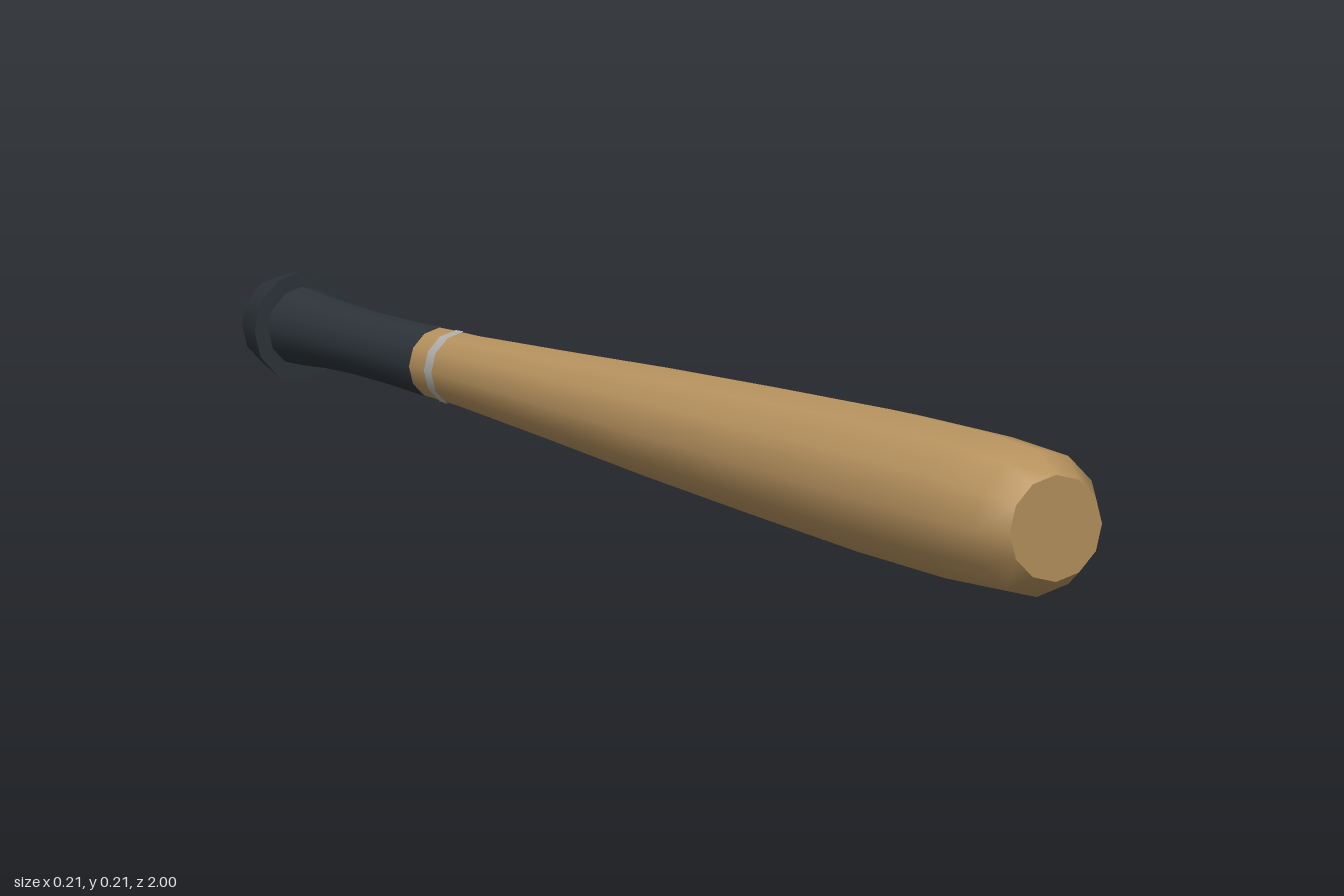
import * as THREE from 'three';

const SIDES = 12;
const AXIS_Y = 0.107;

export function createModel() {
  const wood = new THREE.MeshStandardMaterial({ name: 'wood', color: 0xb8935f });
  const grip = new THREE.MeshStandardMaterial({ name: 'dark grip', color: 0x2d343a });
  const silver = new THREE.MeshStandardMaterial({ name: 'silver band', color: 0xb4b2ae });

  const bat = new THREE.Group();
  bat.name = 'bat';

  // Turned part from [radius, z] pairs running back to front
  function turned(name, profile, material) {
    const points = profile.map(([r, z]) => new THREE.Vector2(r, z));
    const mesh = new THREE.Mesh(new THREE.LatheGeometry(points, SIDES), material);
    mesh.name = name;
    mesh.rotation.x = Math.PI / 2;
    mesh.position.y = AXIS_Y;
    bat.add(mesh);
  }

  // Wooden barrel, tapering towards the grip
  turned('barrel', [
    [0.049, -0.59], [0.051, -0.5], [0.064, -0.25], [0.078, 0], [0.091, 0.28],
    [0.103, 0.57], [0.107, 0.8], [0.102, 0.95], [0.074, 1],
  ], wood);
  turned('barrelEnd', [[0.074, 1], [0, 1]], wood);

  // Thin ring above the grip
  turned('band', [[0.0515, -0.548], [0.0525, -0.527]], silver);

  // Grip with a slight flare into the knob
  turned('grip', [[0.054, -0.945], [0.049, -0.88], [0.046, -0.78], [0.047, -0.68], [0.05, -0.59]], grip);
  turned('gripEnd', [[0.05, -0.59], [0, -0.59]], grip);

  // Knob with flat faces
  turned('knobBack', [[0, -1], [0.062, -1]], grip);
  turned('knobSide', [[0.062, -1], [0.076, -0.945]], grip);
  turned('knobFront', [[0.076, -0.945], [0.05, -0.945]], grip);

  return bat;
}
